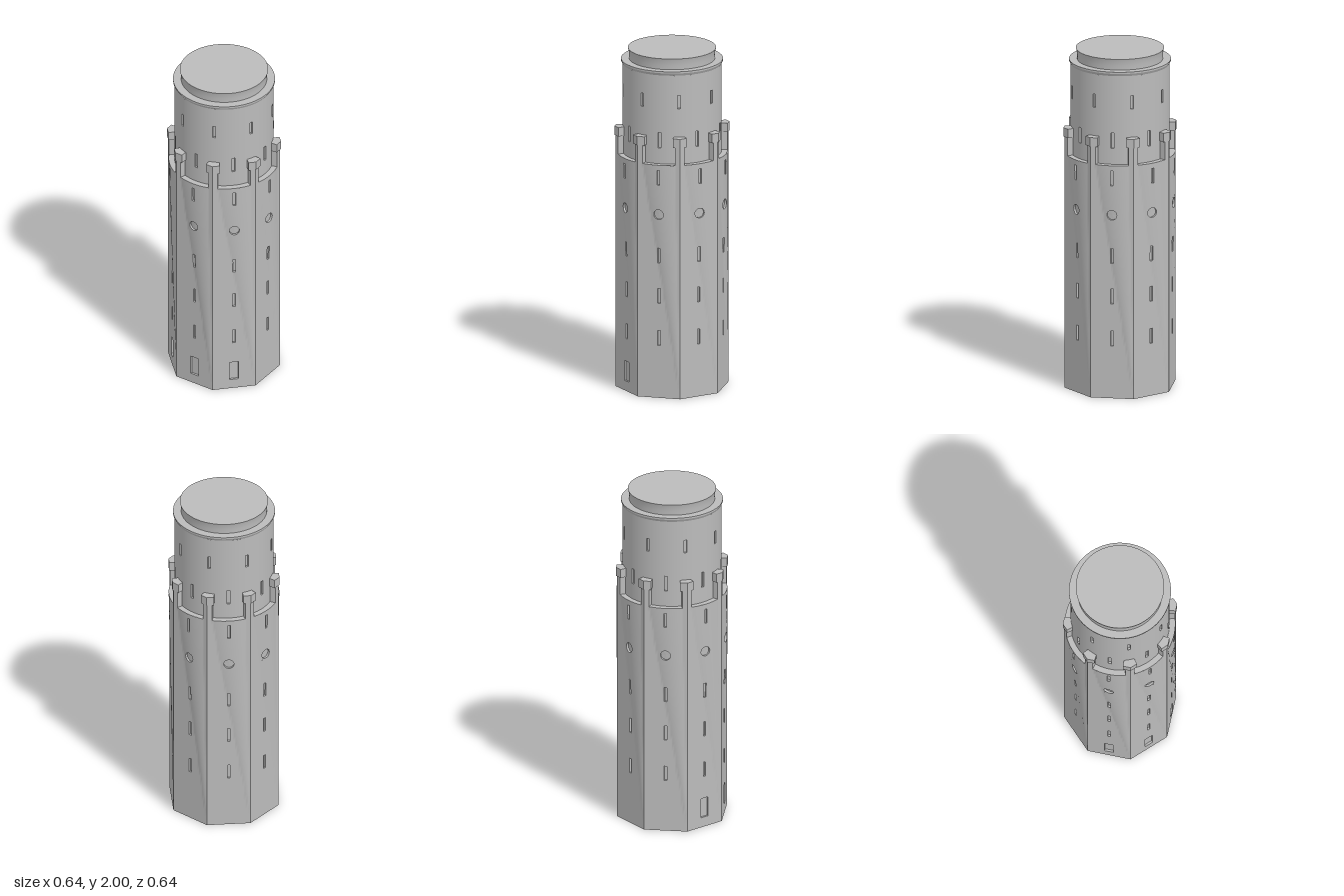
import * as THREE from 'three';

const stone = new THREE.MeshStandardMaterial({ color: 0xbbbbbb });
stone.name = 'stone grey';

const R = 0.326, STEP = Math.PI / 4, FIRST = THREE.MathUtils.degToRad(7.6);
const HALF = R * Math.sin(STEP / 2), APOTHEM = R * Math.cos(STEP / 2);
const WALL_TOP = 1.385, LEDGE_R = 0.316, DRUM_R = 0.283, DRUM_TOP = 1.91;

// Outer wall: flat octagon side at the base, swelling to a circle at the top
// along straight lines that fan out from the lower right corner.
function wallSurface(u, y) {
  const t = Math.max(y, 1e-5) / WALL_TOP;
  const top = HALF + (u - HALF) / t;
  const bulge = top < -HALF ? 0 : Math.max(0, Math.sqrt(LEDGE_R ** 2 - top ** 2) - APOTHEM);
  return new THREE.Vector3(u, y, APOTHEM + t * bulge);
}

function drumSurface(u, y) {
  return new THREE.Vector3(DRUM_R * Math.sin(u / DRUM_R), y, DRUM_R * Math.cos(u / DRUM_R));
}

// Surface panel with recessed openings; hole = { u, v, w, h, round }
function panel(surf, u0, u1, v0, v1, nu, nv, holes, depth) {
  const pos = [], nor = [];
  const normalAt = (u, v) => {
    const e = 0.002;
    const du = surf(u + e, v).sub(surf(u - e, v));
    const dv = surf(u, v + e).sub(surf(u, v - e));
    return du.cross(dv).normalize();
  };
  const skin = (...uv) => uv.forEach(([u, v]) => {
    pos.push(...surf(u, v).toArray());
    nor.push(...normalAt(u, v).toArray());
  });
  const flat = (a, b, c) => {
    const n = b.clone().sub(a).cross(c.clone().sub(a)).normalize();
    [a, b, c].forEach(p => { pos.push(...p.toArray()); nor.push(...n.toArray()); });
  };
  const boxes = holes.map(h => h.round ? { ...h, w: h.w * 1.15, h: h.h * 1.15 } : h);
  const lines = (a, b, n, key, size) => {
    const all = Array.from({ length: n + 1 }, (_, i) => a + (b - a) * i / n);
    boxes.forEach(h => all.push(h[key] - h[size] / 2, h[key] + h[size] / 2));
    return all.sort((p, q) => p - q).filter((p, i, s) => i === 0 || p - s[i - 1] > 1e-6);
  };
  const us = lines(u0, u1, nu, 'u', 'w'), vs = lines(v0, v1, nv, 'v', 'h');

  // Grid cells outside the openings
  for (let i = 0; i < us.length - 1; i++) for (let j = 0; j < vs.length - 1; j++) {
    const [a, b, c, d] = [us[i], us[i + 1], vs[j], vs[j + 1]];
    const mu = (a + b) / 2, mv = (c + d) / 2;
    if (boxes.some(h => Math.abs(mu - h.u) < h.w / 2 && Math.abs(mv - h.v) < h.h / 2)) continue;
    skin([a, c], [b, c], [b, d], [a, c], [b, d], [a, d]);
  }

  holes.forEach((h, k) => {
    const n = h.round ? 24 : 4, rim = [], outer = [];
    for (let i = 0; i < n; i++) {
      const a = i * 2 * Math.PI / n + (h.round ? 0 : -3 * Math.PI / 4);
      const c = Math.cos(a), s = Math.sin(a), m = Math.max(Math.abs(c), Math.abs(s));
      const f = h.round ? 1 : 1 / m;
      rim.push([h.u + c * f * h.w / 2, h.v + s * f * h.h / 2]);
      outer.push([h.u + c / m * boxes[k].w / 2, h.v + s / m * boxes[k].h / 2]);
    }
    const inward = normalAt(h.u, h.v).multiplyScalar(-depth);
    const back = ([u, v]) => surf(u, v).add(inward);
    for (let i = 0; i < n; i++) {
      const p = rim[i], q = rim[(i + 1) % n];
      if (h.round) {
        const o = outer[i], r = outer[(i + 1) % n];
        skin(p, o, r, p, r, q);
      }
      // Reveal and back of the opening
      flat(surf(...p), surf(...q), back(q));
      flat(surf(...p), back(q), back(p));
      flat(back([h.u, h.v]), back(p), back(q));
    }
  });

  const g = new THREE.BufferGeometry();
  g.setAttribute('position', new THREE.Float32BufferAttribute(pos, 3));
  g.setAttribute('normal', new THREE.Float32BufferAttribute(nor, 3));
  return g;
}

// Horizontal outline (x, z) raised from y0 to y1
function prism(points, y0, y1) {
  const shape = new THREE.Shape(points.map(([x, z]) => new THREE.Vector2(x, -z)));
  const g = new THREE.ExtrudeGeometry(shape, { depth: y1 - y0, bevelEnabled: false });
  return g.rotateX(-Math.PI / 2).translate(0, y0, 0);
}

export function createModel() {
  const tower = new THREE.Group();
  tower.name = 'tower';
  const add = (name, geometry, angle = 0) => {
    const mesh = new THREE.Mesh(geometry, stone);
    mesh.name = name;
    mesh.rotation.y = angle;
    tower.add(mesh);
    return mesh;
  };

  // Wall sides: slits and a round window on each, doors on three of them
  const openings = [0.355, 0.605, 0.845, 1.31].map(v => ({ u: 0, v, w: 0.016, h: 0.088 }));
  openings.push({ u: 0, v: 1.09, w: 0.058, h: 0.058, round: true });
  const door = { u: 0, v: 0.118, w: 0.052, h: 0.118 };
  const wall = holes => panel(wallSurface, -HALF, HALF, 0, WALL_TOP, 24, 28, holes, 0.012);
  const plainWall = wall(openings), doorWall = wall([...openings, door]);

  // Corner posts with wider caps
  const post = prism([[-0.023, 0.278], [-0.027, 0.315], [0, R], [0.027, 0.315], [0.023, 0.278]],
    WALL_TOP - 0.002, 1.495);
  const cap = prism([[-0.029, 0.279], [-0.04, 0.3155], [0, 0.332], [0.04, 0.3155], [0.029, 0.279]],
    1.492, 1.545);

  // Drum section with one lower and one upper slit
  const arc = DRUM_R * STEP;
  const drum = panel(drumSurface, -arc / 4, arc * 3 / 4, WALL_TOP - 0.01, DRUM_TOP, 16, 4, [
    { u: 0, v: 1.525, w: 0.018, h: 0.092 },
    { u: arc / 2, v: 1.752, w: 0.018, h: 0.078 },
  ], 0.012);

  for (let i = 0; i < 8; i++) {
    const a = FIRST + i * STEP;
    const hasDoor = i === 0 || i >= 6;
    add(hasDoor ? 'wallSideWithDoor' : 'wallSide', hasDoor ? doorWall : plainWall, a);
    add('cornerPost', post, a + STEP / 2);
    add('postCap', cap, a + STEP / 2);
    add('drumSection', drum, a);
  }

  // Underside
  const base = new THREE.CircleGeometry(R, 8, STEP / 2, Math.PI * 2).rotateX(Math.PI / 2);
  add('base', base, FIRST);

  // Ledge, lip and crown: separate bands keep the edges sharp
  const band = (name, ...pts) =>
    add(name, new THREE.LatheGeometry(pts.map(p => new THREE.Vector2(...p)), 96));
  band('ledge', [LEDGE_R, WALL_TOP], [0.27, WALL_TOP]);
  band('lipFlare', [DRUM_R, DRUM_TOP], [0.291, 1.925]);
  band('lipEdge', [0.291, 1.925], [0.291, 1.935]);
  band('lipTop', [0.291, 1.935], [0.24, 1.935]);
  band('crown', [0.245, 1.935], [0.245, 1.96], [0.248, 1.985], [0.252, 2]);
  band('roof', [0.252, 2], [0, 2]);

  return tower;
}
